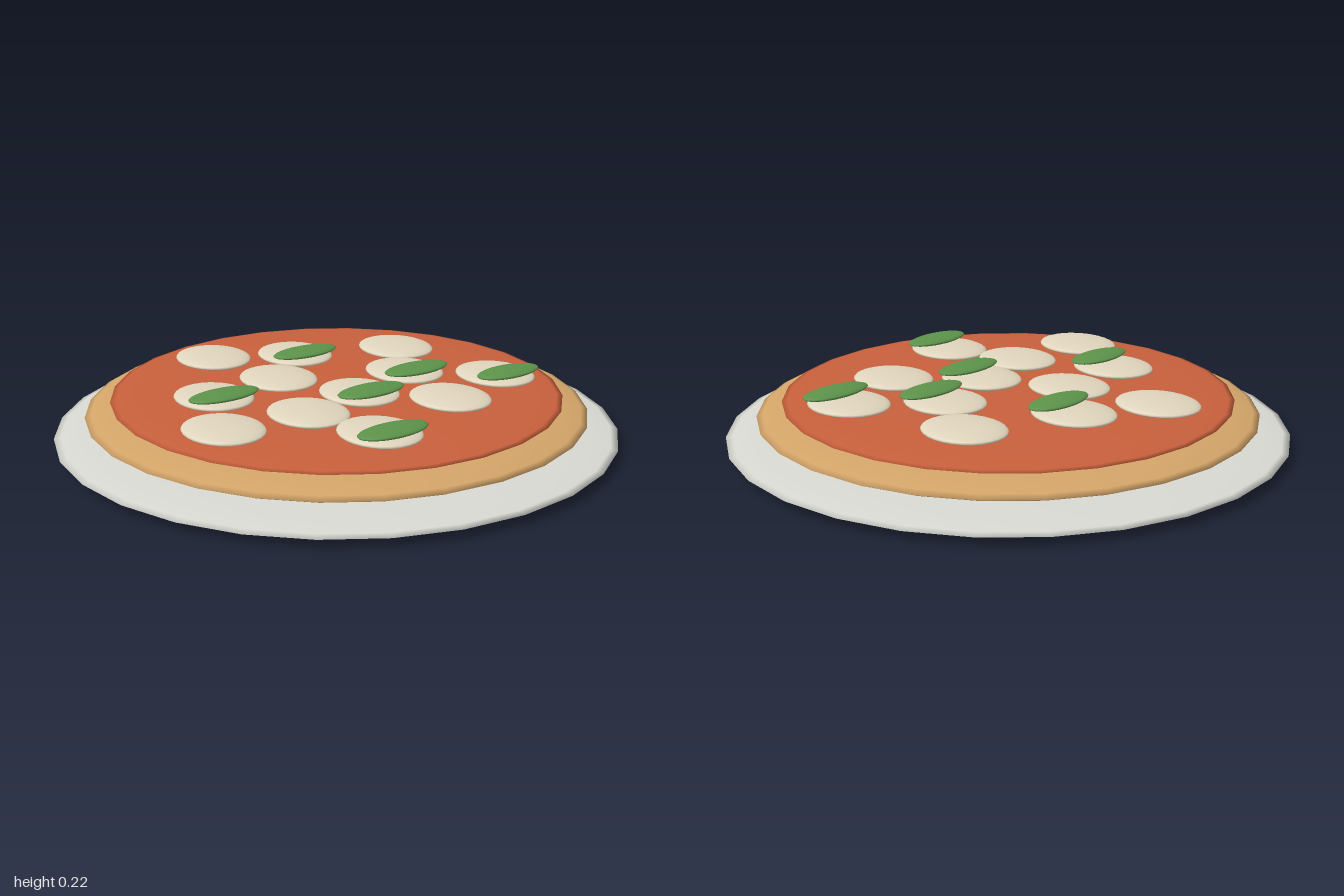
import * as THREE from 'three';

const material = (name, color) => {
  const m = new THREE.MeshStandardMaterial({ color });
  m.name = name;
  return m;
};

export function createModel() {
  const group = new THREE.Group();
  group.name = 'pizza';

  const porcelain = material('porcelain', 0xd9d9d3);
  const dough = material('bakedDough', 0xd4a569);
  const tomato = material('tomatoSauce', 0xc8603c);
  const mozzarella = material('mozzarella', 0xe0d5bd);
  const green = material('basilGreen', 0x5c934a);

  // Every layer is a smooth, flattened disc with 28 sides
  const disc = new THREE.SphereGeometry(1, 28, 14);
  const addDisc = (name, mat, x, y, z, rx, ry, rz) => {
    const mesh = new THREE.Mesh(disc, mat);
    mesh.name = name;
    mesh.position.set(x, y, z);
    mesh.scale.set(rx, ry, rz);
    group.add(mesh);
  };

  // Plate, crust and sauce
  addDisc('plate', porcelain, 0, 0.032, 0, 1, 0.032, 1);
  addDisc('crust', dough, 0, 0.104, 0, 0.89, 0.05, 0.89);
  addDisc('sauce', tomato, 0, 0.155, 0, 0.8, 0.02, 0.8);

  // Cheese slices: x, z, and whether a basil leaf lies on top
  const slices = [
    [-0.23, -0.44, 0], [0.245, -0.53, 1], [0.025, -0.285, 1], [0.355, -0.23, 0],
    [-0.375, -0.07, 1], [0.13, -0.005, 1], [-0.165, 0.14, 0], [-0.515, 0.205, 0],
    [0.205, 0.26, 0], [0.49, 0.175, 1], [-0.12, 0.435, 1], [0.18, 0.575, 0],
  ];
  for (const [x, z, leaf] of slices) {
    addDisc('cheeseSlice', mozzarella, x, 0.184, z, 0.155, 0.02, 0.134);
    if (leaf) addDisc('basilLeaf', green, x + 0.07, 0.211, z, 0.064, 0.014, 0.135);
  }
  return group;
}
